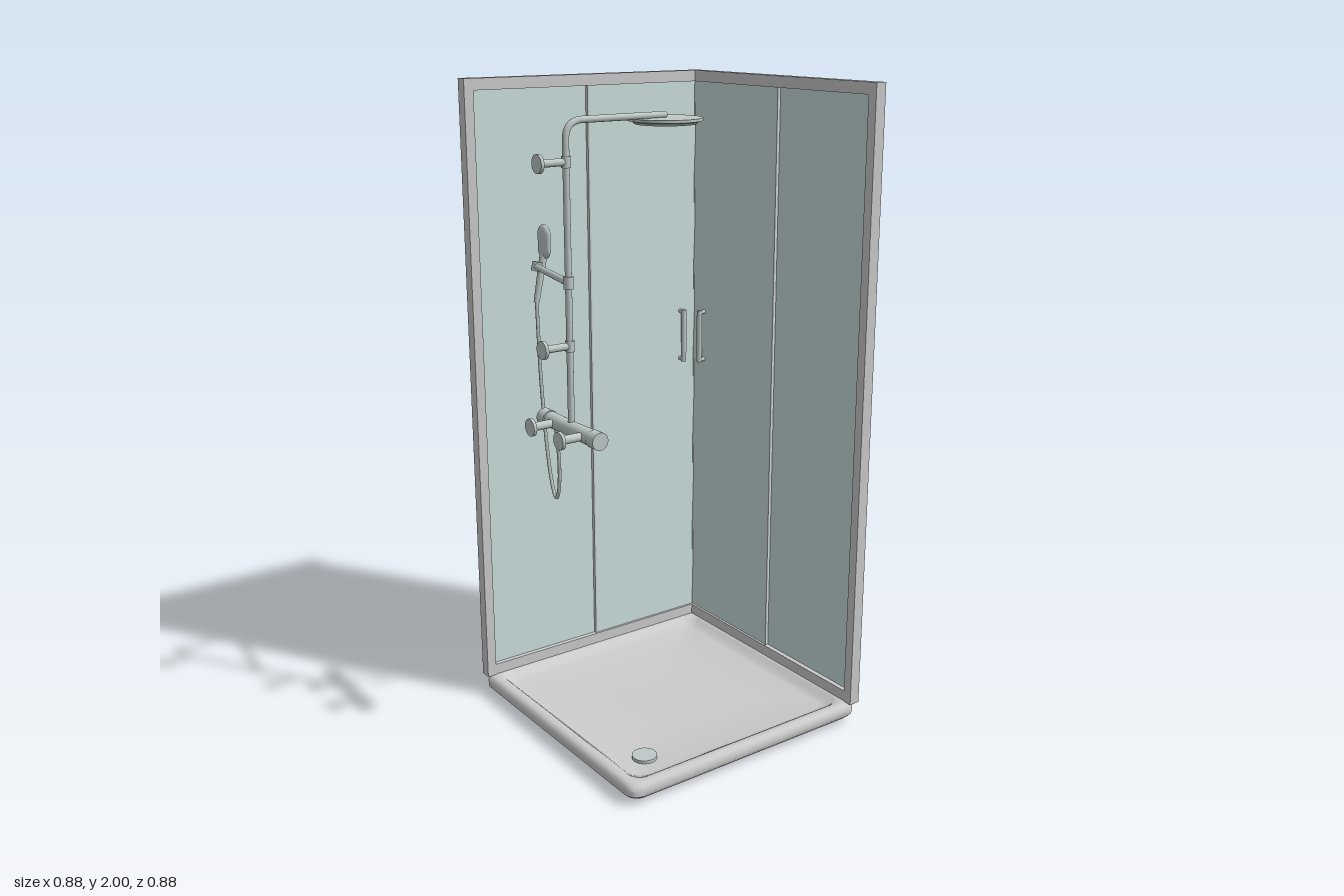
import * as THREE from 'three';
import { toCreasedNormals } from 'three/addons/utils/BufferGeometryUtils.js';

const grey = new THREE.MeshStandardMaterial({ color: 0xcccccc });
const chrome = new THREE.MeshStandardMaterial({ color: 0xbfc9c8 });
const glass = new THREE.MeshStandardMaterial({ color: 0xcbe0dd });

const V = (x, y, z) => new THREE.Vector3(x, y, z);

function add(parent, name, geometry, material) {
  const mesh = new THREE.Mesh(geometry, material);
  mesh.name = name;
  parent.add(mesh);
  return mesh;
}

// Box given by its minimum and maximum corners
function block(parent, name, a, b, material) {
  const geo = new THREE.BoxGeometry(b[0] - a[0], b[1] - a[1], b[2] - a[2]);
  geo.translate((a[0] + b[0]) / 2, (a[1] + b[1]) / 2, (a[2] + b[2]) / 2);
  return add(parent, name, geo, material);
}

// Round bar between two points
function rod(parent, name, a, b, r0, r1 = r0, material = chrome) {
  const dir = b.clone().sub(a);
  const mesh = add(parent, name, new THREE.CylinderGeometry(r1, r0, dir.length(), 28), material);
  mesh.position.copy(a).add(b).multiplyScalar(0.5);
  mesh.quaternion.setFromUnitVectors(V(0, 1, 0), dir.normalize());
  return mesh;
}

// Closed skin through rounded-square sections [half size, height]
function trayGeometry(sections, radius) {
  const steps = 8, pos = [], idx = [], n = 4 * (steps + 1);
  for (const [h, y] of sections) {
    const r = Math.min(radius, h * 0.5);
    for (let c = 0; c < 4; c++) {
      for (let s = 0; s <= steps; s++) {
        const t = (c + s / steps) * Math.PI / 2;
        const sx = c === 0 || c === 3 ? 1 : -1, sz = c < 2 ? 1 : -1;
        pos.push(sx * (h - r) + r * Math.cos(t), y, sz * (h - r) + r * Math.sin(t));
      }
    }
  }
  for (let k = 0; k < sections.length - 1; k++) {
    for (let i = 0; i < n; i++) {
      const a = k * n + i, b = k * n + (i + 1) % n;
      idx.push(a, a + n, b, b, a + n, b + n);
    }
  }
  const geo = new THREE.BufferGeometry();
  geo.setAttribute('position', new THREE.Float32BufferAttribute(pos, 3));
  geo.setIndex(idx);
  return toCreasedNormals(geo, 0.7);
}

// One framed wall along the back: fixed panel, sliding door, posts and handle
function wall(name, railEnd) {
  const g = new THREE.Group();
  g.name = name;
  for (const [part, y0, y1] of [['bottomRail', 0.064, 0.1], ['topRail', 1.965, 2]]) {
    block(g, part, [-0.437, y0, -0.437], [railEnd, y1, -0.406], grey);
  }
  block(g, 'endPost', [-0.44, 0.064, -0.44], [-0.409, 2, -0.404], grey);
  block(g, 'fixedPanel', [-0.41, 0.1, -0.428], [0.008, 1.965, -0.422], glass);
  block(g, 'slidingDoor', [-0.008, 0.1, -0.42], [0.414, 1.965, -0.414], glass);
  block(g, 'panelSeal', [-0.008, 0.1, -0.424], [-0.002, 1.965, -0.411], grey);
  block(g, 'doorSeal', [0.413, 0.1, -0.422], [0.419, 1.965, -0.412], grey);
  rod(g, 'handleBar', V(0.355, 1.03, -0.393), V(0.355, 1.21, -0.393), 0.009);
  for (const y of [1.037, 1.203]) {
    rod(g, 'handleMount', V(0.355, y, -0.393), V(0.355, y, -0.428), 0.007);
    rod(g, 'outerKnob', V(0.355, y, -0.42), V(0.355, y, -0.43), 0.009);
  }
  return g;
}

function shower() {
  const g = new THREE.Group();
  g.name = 'showerSet';
  const x = -0.345;

  // Riser bending into the overhead arm
  const path = new THREE.CurvePath();
  path.add(new THREE.LineCurve3(V(x, 1.015, 0), V(x, 1.85, 0)));
  path.add(new THREE.QuadraticBezierCurve3(V(x, 1.85, 0), V(x, 1.902, 0), V(-0.29, 1.903, 0)));
  path.add(new THREE.LineCurve3(V(-0.29, 1.903, 0), V(-0.005, 1.903, 0)));
  add(g, 'riserAndArm', new THREE.TubeGeometry(path, 120, 0.01, 16), chrome);
  rod(g, 'armTip', V(-0.012, 1.903, 0), V(-0.005, 1.903, 0), 0.01);

  // Overhead rain head
  const head = [[0, 1.877], [0.09, 1.877], [0.098, 1.884], [0.11, 1.887], [0.11, 1.895], [0, 1.896]];
  const headGeo = new THREE.LatheGeometry(head.map(p => new THREE.Vector2(...p)), 64);
  headGeo.translate(-0.005, 0, 0);
  add(g, 'rainHead', toCreasedNormals(headGeo, 0.4), chrome);

  // Wall brackets and water inlets
  for (const [part, y, z, r] of [['upperBracket', 1.79, 0, 0.011], ['lowerBracket', 1.265, 0, 0.011],
    ['inlet', 1.015, 0.08, 0.013], ['inlet', 1.015, -0.08, 0.013]]) {
    rod(g, part, V(-0.436, y, z), V(x, y, z), r);
    rod(g, part + 'Flange', V(-0.44, y, z), V(-0.43, y, z), 0.027);
  }
  for (const y of [1.79, 1.265]) rod(g, 'riserCollar', V(x, y - 0.016, 0), V(x, y + 0.016, 0), 0.014);

  // Mixer valve with a knob at either end
  for (const s of [1, -1]) {
    rod(g, 'mixerBody', V(x, 1.015, 0), V(x, 1.015, s * 0.115), 0.023, 0.025);
    rod(g, 'mixerKnob', V(x, 1.015, s * 0.118), V(x, 1.015, s * 0.155), 0.027);
  }

  // Hand shower on its side arm
  rod(g, 'holderArm', V(x, 1.45, 0), V(-0.317, 1.46, -0.235), 0.011, 0.009);
  rod(g, 'holderClamp', V(x, 1.432, 0), V(x, 1.468, 0), 0.015);
  rod(g, 'holderCup', V(-0.318, 1.445, -0.228), V(-0.311, 1.472, -0.228), 0.015);
  rod(g, 'handShowerHandle', V(-0.318, 1.35, -0.228), V(-0.288, 1.5, -0.228), 0.009, 0.012);
  const face = new THREE.CapsuleGeometry(0.03, 0.045, 10, 24);
  face.scale(0.45, 1, 1);
  add(g, 'handShowerHead', face, chrome).position.set(-0.286, 1.53, -0.228);

  // Hanging hose
  const hose = new THREE.CatmullRomCurve3([V(-0.318, 1.36, -0.228), V(-0.317, 1.1, -0.215),
    V(-0.316, 0.86, -0.185), V(-0.316, 0.775, -0.162), V(-0.316, 0.748, -0.145),
    V(-0.317, 0.775, -0.128), V(-0.322, 0.86, -0.112), V(-0.338, 1.0, -0.1)]);
  add(g, 'hose', new THREE.TubeGeometry(hose, 90, 0.0055, 10), chrome);
  return g;
}

export function createModel() {
  const model = new THREE.Group();
  model.name = 'showerCabin';

  // Shallow dished tray
  add(model, 'tray', trayGeometry([[0.0001, 0], [0.12, 0.002], [0.3, 0.008], [0.405, 0.011],
    [0.425, 0.015], [0.437, 0.028], [0.438, 0.048], [0.432, 0.06], [0.422, 0.065], [0.405, 0.065],
    [0.395, 0.06], [0.38, 0.046], [0.36, 0.041], [0.2, 0.036], [0.0001, 0.033]], 0.04), grey);
  rod(model, 'drainCover', V(-0.285, 0.03, 0.28), V(-0.285, 0.05, 0.28), 0.038);

  // Back wall, and the same wall mirrored across the corner onto the left side
  model.add(wall('backWall', 0.437));
  const side = wall('sideWall', 0.406);
  side.traverse(o => {
    if (!o.isMesh) return;
    o.updateMatrix();
    const swap = new THREE.Matrix4().set(0, 0, -1, 0, 0, 1, 0, 0, -1, 0, 0, 0, 0, 0, 0, 1);
    o.geometry.applyMatrix4(o.matrix).applyMatrix4(swap);
    o.position.set(0, 0, 0);
    o.quaternion.identity();
    // Mirroring turns the faces round, so restore their corner order
    const index = o.geometry.index.array;
    for (let i = 0; i < index.length; i += 3) [index[i], index[i + 1]] = [index[i + 1], index[i]];
  });
  model.add(side);

  model.add(shower());
  return model;
}
